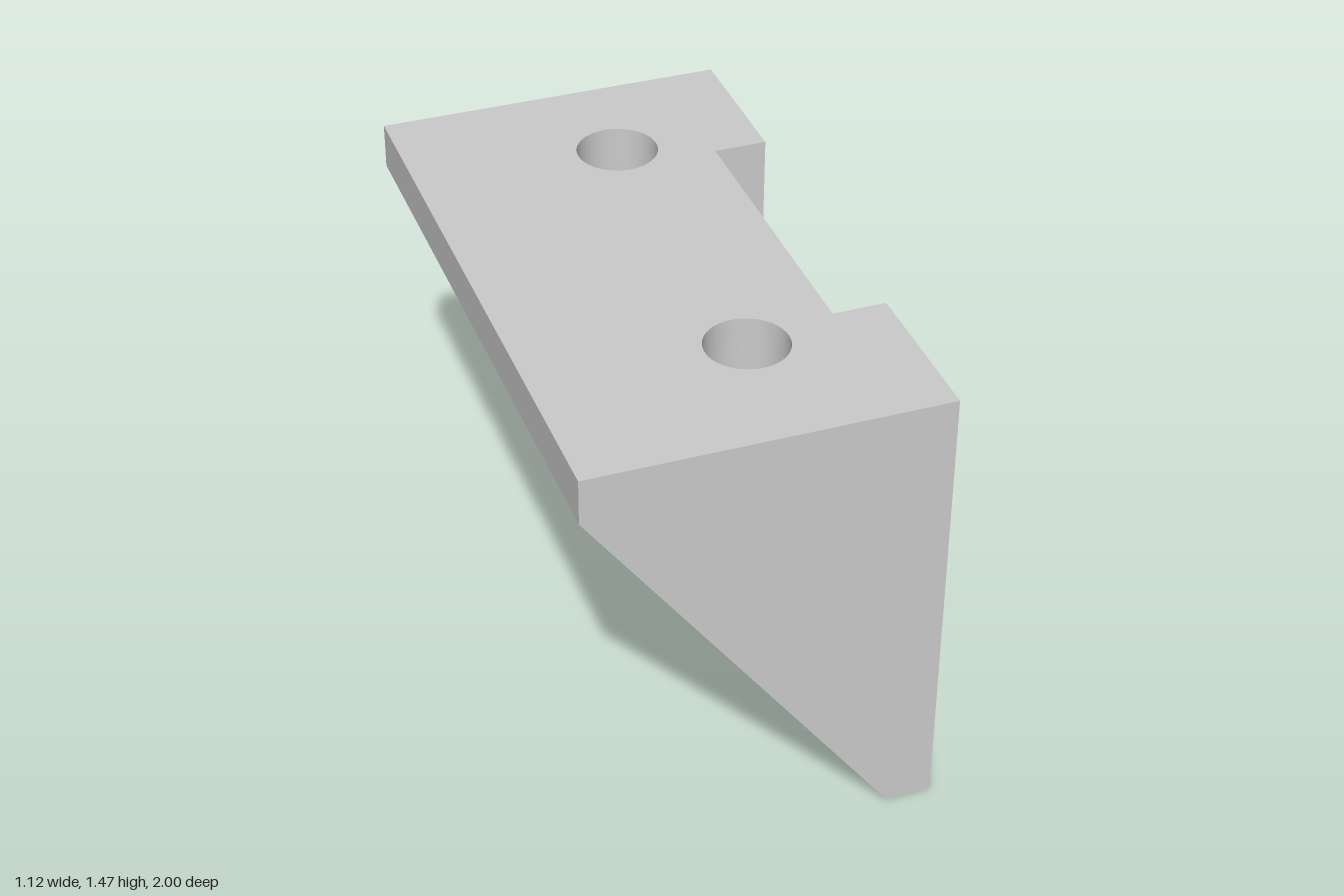
import * as THREE from 'three';

const material = new THREE.MeshStandardMaterial({ color: 0xcccccc });
const HOLE = 0.129;      // screw hole radius
const T = 0.147;         // plate and wall thickness
const H = 1.472, W = 0.56;

function polygon(points) {
  return new THREE.Shape(points.map(([a, b]) => new THREE.Vector2(a, b)));
}

function circle(Type, x, y, r) {
  const path = new Type();
  path.absarc(x, y, r, 0, Math.PI * 2, false);
  return path;
}

function extrude(shape, depth) {
  return new THREE.ExtrudeGeometry(shape, { depth, bevelEnabled: false, curveSegments: 32 });
}

export function createModel() {
  const group = new THREE.Group();
  const add = (name, geometry) => {
    const mesh = new THREE.Mesh(geometry, material);
    mesh.name = name;
    group.add(mesh);
  };
  // Horizontal slab: the shape is drawn in (x, -z)
  const flat = (name, shape, y, depth) =>
    add(name, extrude(shape, depth).rotateX(-Math.PI / 2).translate(0, y, 0));
  // Upright slab: the shape is drawn in (-z, y)
  const upright = (name, shape, x, depth) =>
    add(name, extrude(shape, depth).rotateY(Math.PI / 2).translate(x, 0, 0));

  // Screw positions and raised ring radii
  const topScrews = [{ z: 0.54, r: 0.21 }, { z: -0.612, r: 0.235 }];
  const wallScrews = [{ z: 0.58, r: 0.255 }, { z: -0.575, r: 0.255 }];
  const topX = 0.1, wallY = 0.357, ring = 0.04;

  // Top plate with a notch in its outer edge
  const plate = polygon([[-W, -1], [W, -1], [W, -0.478], [0.39, -0.478],
    [0.39, 0.5], [W, 0.5], [W, 1], [-W, 1]]);
  topScrews.forEach(s => plate.holes.push(circle(THREE.Path, topX, -s.z, HOLE)));
  flat('topPlate', plate, H - T, T);

  // Upright wall with the cable window open towards the plate
  const wall = polygon([[-1, 0], [1, 0], [1, H - T], [0.5, H - T],
    [0.5, 0.995], [-0.487, 0.995], [-0.487, H - T], [-1, H - T]]);
  wallScrews.forEach(s => wall.holes.push(circle(THREE.Path, -s.z, wallY, HOLE)));
  upright('uprightWall', wall, W - T, T);

  // Raised rings around the holes on the inner faces
  topScrews.forEach(s => {
    const shape = circle(THREE.Shape, topX, -s.z, s.r);
    shape.holes.push(circle(THREE.Path, topX, -s.z, HOLE));
    flat('topScrewRing', shape, H - T - ring, ring);
  });
  wallScrews.forEach(s => {
    const shape = circle(THREE.Shape, -s.z, wallY, s.r);
    shape.holes.push(circle(THREE.Path, -s.z, wallY, HOLE));
    upright('wallScrewRing', shape, W - T - ring, ring);
  });

  // Triangular side gussets
  const gusset = polygon([[-W, H - T], [W - T, 0], [W - T, H - T]]);
  for (const z of [-1, 1 - T]) {
    add('sideGusset', extrude(gusset, T).translate(0, 0, z));
  }
  return group;
}
